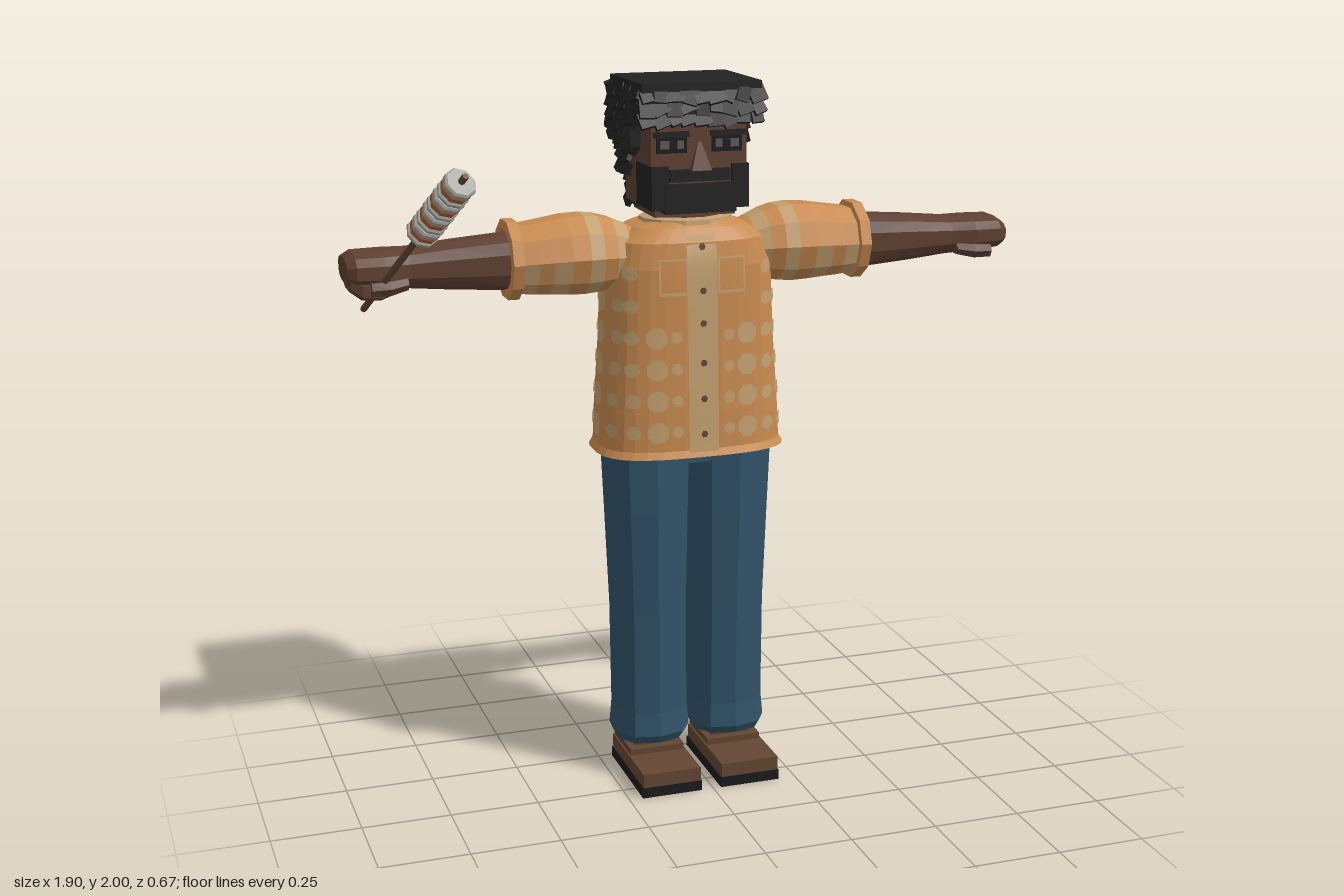
import * as THREE from 'three';
import { mergeGeometries } from 'three/addons/utils/BufferGeometryUtils.js';

const mat = (name, color) => {
  const m = new THREE.MeshStandardMaterial({ color, side: THREE.DoubleSide });
  m.name = name;
  return m;
};
const ZC = -0.158; // depth of the body's middle

export function createModel() {
  const model = new THREE.Group();
  model.name = 'figure';
  const body = new THREE.Group();
  body.name = 'body';
  body.position.x = -0.006;
  model.add(body);

  const skin = mat('skin', 0x5f4032), hair = mat('hair', 0x222222), shirt = mat('shirt orange', 0xc98b50),
    tan = mat('shirt tan', 0xc4a170), denim = mat('denim', 0x315369), leather = mat('leather', 0x644633),
    sole = mat('sole', 0x1b1b1d), grey = mat('pale grey', 0xa8a8a2), roast = mat('roasted orange', 0xa5633a),
    eyeGrey = mat('eye grey', 0x5c5855);

  const add = (name, geo, m, parent = body) => {
    const mesh = new THREE.Mesh(geo, m);
    mesh.name = name;
    parent.add(mesh);
    return mesh;
  };
  // Box given by its limits
  const box = (name, m, x0, x1, y0, y1, z0, z1) =>
    add(name, new THREE.BoxGeometry(x1 - x0, y1 - y0, z1 - z0)
      .translate((x0 + x1) / 2, (y0 + y1) / 2, (z0 + z1) / 2), m);

  // Flat-sided skin over rings [t, a, b, ra, rb] along y (side 0) or along x (side +1 / -1)
  function loft(rings, { side = 0, sides = 10, power = 2, pick = () => 0, caps = true } = {}) {
    const P = (t, a, b) => side ? [side * t, a, b] : [a, t, b];
    const bend = v => Math.sign(v) * Math.abs(v) ** (2 / power);
    const pts = rings.map(([t, a, b, ra, rb]) => Array.from({ length: sides }, (_, i) => {
      const q = (i + 0.5) / sides * Math.PI * 2;
      return P(t, a + ra * bend(Math.cos(q)), b + rb * bend(Math.sin(q)));
    }));
    const buckets = [[], []];
    const tri = (k, a, b, c) => buckets[k].push(...(side === 1 ? [a, c, b] : [a, b, c]));
    for (let j = 0; j < pts.length - 1; j++) for (let i = 0; i < sides; i++) {
      const n = (i + 1) % sides, k = pick(j, i);
      tri(k, pts[j][i], pts[j + 1][i], pts[j][n]);
      tri(k, pts[j][n], pts[j + 1][i], pts[j + 1][n]);
    }
    if (caps) for (const j of [0, pts.length - 1]) {
      const c = P(rings[j][0], rings[j][1], rings[j][2]);
      for (let i = 0; i < sides; i++) {
        const n = (i + 1) % sides;
        if (j) tri(0, c, pts[j][n], pts[j][i]);
        else tri(0, c, pts[j][i], pts[j][n]);
      }
    }
    const geo = new THREE.BufferGeometry();
    geo.setAttribute('position', new THREE.Float32BufferAttribute(buckets.flat(2), 3));
    geo.addGroup(0, buckets[0].length, 0);
    if (buckets[1].length) geo.addGroup(buckets[0].length, buckets[1].length, 1);
    geo.computeVertexNormals();
    return geo;
  }

  // Shirt body: [y, half width, half depth]
  const SECTIONS = [[0.975, 0.272, 0.172], [0.995, 0.261, 0.163], [1.1, 0.256, 0.161], [1.3, 0.242, 0.154],
    [1.5, 0.235, 0.148], [1.57, 0.215, 0.138], [1.605, 0.16, 0.115], [1.62, 0.11, 0.1]];
  add('shirtBody', loft(SECTIONS.map(([y, w, d]) => [y, 0, ZC, w, d]), { sides: 32, power: 3, caps: false }), [shirt, tan]);

  // Lay a flat geometry on the shirt: face 0 front, 1 back, 2 left, 3 right
  function onShirt(geo, face, u0, y0) {
    const p = geo.attributes.position, sign = face % 2 ? -1 : 1;
    for (let i = 0; i < p.count; i++) {
      const u = u0 + p.getX(i), y = y0 + p.getY(i);
      let j = 0;
      while (j < SECTIONS.length - 2 && y > SECTIONS[j + 1][0]) j++;
      const [ya, wa, da] = SECTIONS[j], [yb, wb, db] = SECTIONS[j + 1];
      const f = (y - ya) / (yb - ya), w = wa + (wb - wa) * f, d = da + (db - da) * f;
      const rise = (r) => Math.cbrt(Math.max(0, 1 - Math.abs(r) ** 3));
      const lift = 0.004 + p.getZ(i);
      if (face < 2) p.setXYZ(i, sign * u, y, ZC + sign * (d * rise(u / w) + lift));
      else p.setXYZ(i, sign * (w * rise(u / d) + lift), y, ZC - sign * u);
    }
    geo.computeVertexNormals();
    return geo.toNonIndexed();
  }

  // Printed spots, alternating large and small columns
  const spots = [];
  const columns = [[[-0.195, 0.02], [-0.13, 0.031], [-0.075, 0.017], [0.075, 0.017], [0.13, 0.031], [0.195, 0.02]],
    [[-0.19, 0.024], [-0.115, 0.031], [-0.04, 0.025], [0.04, 0.025], [0.115, 0.031], [0.19, 0.024]],
    [[-0.09, 0.02], [0, 0.034], [0.09, 0.02]], [[-0.09, 0.02], [0, 0.034], [0.09, 0.02]]];
  columns.forEach((list, face) => list.forEach(([u, r]) => {
    for (let k = 0; k < 6; k++) {
      const y = 1.05 + k * 0.088;
      if (face === 0 && Math.abs(u) < 0.15 && y > 1.4) continue;
      if (face > 1 && y > 1.42) continue;
      spots.push(onShirt(new THREE.CircleGeometry(r, 8, Math.PI / 8), face, u, y));
    }
  }));
  add('shirtSpots', mergeGeometries(spots), tan);

  // Placket, pockets and buttons
  add('placket', onShirt(new THREE.PlaneGeometry(0.085, 0.6, 2, 14), 0, 0, 1.29), tan);
  for (const s of [-1, 1]) {
    const u = s * 0.083;
    add('pocket', onShirt(new THREE.PlaneGeometry(0.08, 0.1, 3, 2).translate(0, 0, 0.004), 0, u, 1.48), tan);
    add('pocketFront', onShirt(new THREE.PlaneGeometry(0.07, 0.086, 3, 2).translate(0, 0, 0.006), 0, u, 1.482), shirt);
  }
  for (const y of [1.56, 1.44, 1.35, 1.24, 1.14, 1.04])
    add('button', onShirt(new THREE.CircleGeometry(0.01, 6).translate(0, 0, 0.004), 0, 0, y), leather);

  // Collar and neck
  add('collar', loft([[1.59, 0, ZC, 0.135, 0.115], [1.625, 0, ZC, 0.13, 0.11], [1.63, 0, ZC, 0.105, 0.09],
    [1.6, 0, ZC, 0.1, 0.085]], { sides: 12, caps: false }), tan);
  add('neck', loft([[1.56, 0, ZC, 0.1, 0.085], [1.68, 0, ZC, 0.095, 0.08]]), skin);

  // Sleeves with printed bands, forearms and hands
  const sleeve = [[0.13, 1.53, 0.065, 0.07], [0.18, 1.53, 0.085, 0.09], [0.22, 1.533, 0.1, 0.105],
    [0.26, 1.535, 0.109, 0.115], [0.3, 1.535, 0.113, 0.119], [0.35, 1.535, 0.111, 0.119], [0.4, 1.533, 0.105, 0.114],
    [0.44, 1.531, 0.101, 0.109], [0.48, 1.53, 0.096, 0.103], [0.483, 1.53, 0.111, 0.115],
    [0.513, 1.53, 0.111, 0.115], [0.515, 1.53, 0.085, 0.09], [0.485, 1.53, 0.08, 0.085]];
  const arm = [[0.4, 1.528, 0.078, 0.075], [0.53, 1.526, 0.076, 0.072], [0.66, 1.526, 0.066, 0.071],
    [0.78, 1.526, 0.054, 0.072], [0.85, 1.528, 0.052, 0.088], [0.925, 1.53, 0.048, 0.09], [0.948, 1.53, 0.034, 0.075]];
  for (const s of [1, -1]) {
    const place = ([t, a, ra, rb]) => [t, a, ZC, ra, rb];
    // A segment is low when it lies under the sleeve's middle line
    const low = i => Math.cos((i + 1) / 10 * Math.PI * 2) < 0.2;
    add(s > 0 ? 'leftSleeve' : 'rightSleeve', loft(sleeve.map(place), {
      side: s, caps: false, pick: (j, i) => j < 8 && (j % 2 === 1) && (low(i) || j < 4) ? 1 : 0 }), [shirt, tan]);
    add(s > 0 ? 'leftArm' : 'rightArm', loft(arm.map(place), { side: s, sides: 12, power: 2.6 }), [skin]);
    add('thumb', loft([[0.79, 1.495, -0.09, 0.018, 0.022], [0.84, 1.488, -0.078, 0.022, 0.024],
      [0.89, 1.487, -0.072, 0.02, 0.018]], { side: s, sides: 6 }), [skin]);
  }
  add('curledFingers', loft([[0.82, 1.485, -0.15, 0.025, 0.055], [0.86, 1.478, -0.15, 0.03, 0.075],
    [0.91, 1.482, -0.15, 0.03, 0.078], [0.94, 1.5, -0.15, 0.025, 0.065]], { side: -1, sides: 8, power: 3 }), [skin]);

  // Trousers
  box('hips', denim, -0.2, 0.2, 0.94, 1.05, -0.27, -0.055);
  for (const s of [1, -1]) {
    add(s > 0 ? 'leftTrouserLeg' : 'rightTrouserLeg', loft([[0.105, s * 0.117, ZC, 0.1, 0.1],
      [0.13, s * 0.115, ZC, 0.112, 0.115], [0.2, s * 0.115, ZC, 0.106, 0.108], [0.5, s * 0.117, ZC, 0.106, 0.113],
      [0.8, s * 0.12, ZC, 0.115, 0.122], [1.03, s * 0.123, ZC, 0.122, 0.126]], { sides: 10, power: 2.5 }), [denim]);
    // Shoes
    const x = s * 0.117;
    box('shoeSole', sole, x - 0.088, x + 0.088, 0, 0.03, -0.242, 0.072);
    box('shoeUpper', leather, x - 0.085, x + 0.085, 0.03, 0.07, -0.238, 0.07);
    box('shoeHeel', leather, x - 0.08, x + 0.08, 0.07, 0.088, -0.238, -0.07);
    box('ankle', leather, x - 0.06, x + 0.06, 0.085, 0.13, -0.225, -0.095);
  }

  // Head and face
  box('head', skin, -0.135, 0.135, 1.66, 1.95, -0.27, -0.035);
  box('jaw', skin, -0.115, 0.115, 1.635, 1.67, -0.26, -0.07);
  box('chinBeard', hair, -0.1, 0.1, 1.65, 1.73, -0.15, -0.018);
  box('moustache', hair, -0.085, 0.085, 1.735, 1.768, -0.05, -0.022);
  box('mouth', skin, -0.035, 0.035, 1.725, 1.738, -0.05, -0.03);
  const nose = new THREE.CylinderGeometry(0.006, 0.04, 0.075, 4, 1).rotateY(Math.PI / 4);
  add('nose', nose.toNonIndexed().translate(0, 1.803, -0.037), skin).geometry.computeVertexNormals();
  for (const s of [1, -1]) {
    const plate = (name, m, xc, w, y0, y1, z) => box(name, m, s * xc - w / 2, s * xc + w / 2, y0, y1, -0.036, z);
    plate('eyebrow', hair, 0.08, 0.1, 1.855, 1.87, -0.025);
    plate('eyeSocket', sole, 0.078, 0.086, 1.812, 1.856, -0.032);
    plate('eye', eyeGrey, 0.078, 0.066, 1.824, 1.846, -0.029);
    plate('pupil', sole, 0.075, 0.022, 1.824, 1.846, -0.027);
    const sides = s > 0 ? [0.09, 0.138] : [-0.138, -0.09];
    box('cheekBeard', hair, ...sides, 1.66, 1.778, -0.163, -0.022);
    box('sideHair', hair, s > 0 ? 0.12 : -0.165, s > 0 ? 0.165 : -0.12, 1.82, 1.92, -0.3, -0.13);
  }

  // Hair mass
  box('hairTop', hair, -0.168, 0.168, 1.89, 2, -0.305, -0.008);
  box('hairBack', hair, -0.142, 0.142, 1.73, 1.92, -0.312, -0.215);
  box('hairNape', hair, -0.115, 0.115, 1.645, 1.74, -0.3, -0.225);

  // Ragged tufts, laid in rows like shingles on all four sides
  let seed = 7;
  const rnd = () => (seed = (seed * 16807) % 2147483647) / 2147483647;
  const tufts = [];
  const tuft = (x, y, z, turn) => tufts.push(new THREE.BoxGeometry(0.03 + rnd() * 0.025, 0.028 + rnd() * 0.025, 0.014)
    .rotateZ((rnd() - 0.5) * 0.9).rotateX(-0.25 - rnd() * 0.3).rotateY(turn).translate(x, y, z));
  for (let y = 1.665; y < 1.98; y += 0.03) {
    const half = y < 1.74 ? 0.1 : y < 1.86 ? 0.125 : 0.155;
    for (let x = -half; x <= half + 0.001; x += half / 4) {
      tuft(x, y, y < 1.74 ? -0.302 : -0.31, Math.PI);
      if (y > 1.89) tuft(x, y, -0.01, 0);
    }
    for (let z = -0.29; z < -0.02; z += 0.034) for (const s of [1, -1]) {
      const bottom = z < -0.22 ? 1.65 : z < -0.12 ? 1.81 : 1.885;
      if (y > bottom) tuft(s * (y < 1.74 ? 0.118 : y < 1.82 ? 0.145 : 0.17), y, z, s * Math.PI / 2);
    }
  }
  add('hairTufts', mergeGeometries(tufts), hair);

  // Skewer held in the right hand
  const skewer = new THREE.Group();
  skewer.name = 'skewer';
  const from = new THREE.Vector3(-0.9, 1.412, -0.19), to = new THREE.Vector3(-0.725, 1.835, 0.335);
  const dir = to.clone().sub(from), len = dir.length();
  skewer.position.copy(from);
  skewer.quaternion.setFromUnitVectors(new THREE.Vector3(0, 1, 0), dir.normalize());
  model.add(skewer);
  add('stick', new THREE.CylinderGeometry(0.009, 0.009, len, 6).translate(0, len / 2, 0), leather, skewer);
  const disc = (name, r, h, y, m) => add(name, loft([[y - h / 2, 0, 0, r * 0.88, r * 0.88], [y - h / 4, 0, 0, r, r],
    [y + h / 4, 0, 0, r, r], [y + h / 2, 0, 0, r * 0.88, r * 0.88]], { sides: 8 }), [m], skewer);
  for (let k = 0; k < 4; k++) {
    const y = len - 0.06 - k * 0.066;
    disc('paleSlice', 0.043, 0.022, y + 0.021, grey);
    disc('roastedSlice', 0.041, 0.026, y, roast);
    disc('paleSlice', 0.043, 0.018, y - 0.02, grey);
  }
  return model;
}
